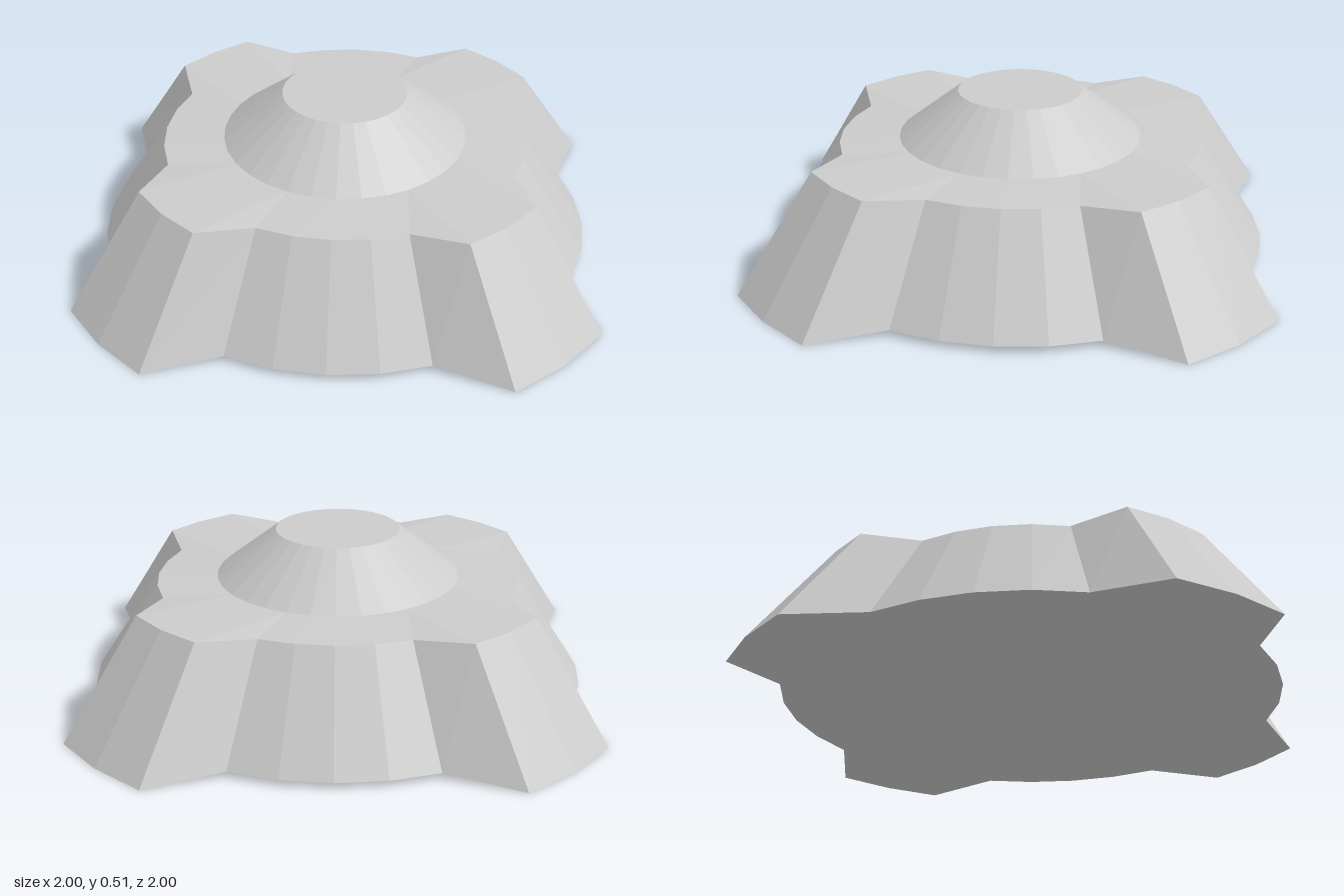
import * as THREE from 'three';

const SEG = 32;
const material = new THREE.MeshStandardMaterial({ color: 0xcccccc, flatShading: true });

// One ring of points; lobes point along the four axes, three points wide each
function ring(lobeR, lobeY, valleyR = lobeR, valleyY = lobeY) {
  return Array.from({ length: SEG }, (_, i) => {
    const a = (i / SEG) * Math.PI * 2;
    const k = i % 8;
    const lobe = k <= 1 || k === 7;
    const r = lobe ? lobeR : valleyR;
    return [Math.cos(a) * r, lobe ? lobeY : valleyY, -Math.sin(a) * r];
  });
}

// Skin a stack of rings, ordered from the bottom centre outward and up
function loft(name, rings) {
  const pos = rings.flat(2);
  const index = [];
  for (let j = 0; j < rings.length - 1; j++) {
    for (let i = 0; i < SEG; i++) {
      const n = (i + 1) % SEG;
      const a = j * SEG + i, b = j * SEG + n;
      const c = a + SEG, d = b + SEG;
      index.push(a, b, d, a, d, c);
    }
  }
  const indexed = new THREE.BufferGeometry();
  indexed.setAttribute('position', new THREE.Float32BufferAttribute(pos, 3));
  indexed.setIndex(index);
  const geometry = indexed.toNonIndexed();
  geometry.computeVertexNormals();
  const mesh = new THREE.Mesh(geometry, material);
  mesh.name = name;
  return mesh;
}

export function createModel() {
  const model = new THREE.Group();
  model.name = 'lobedPedestal';

  // Flared base with four lobes, closed underneath, with a flat shoulder
  model.add(loft('lobedBase', [
    ring(0, 0.015),
    ring(1, 0, 0.818, 0.02),
    ring(0.735, 0.365, 0.6, 0.352),
    ring(0.4, 0.362),
  ]));

  // Raised cone with a flat cap
  model.add(loft('raisedCone', [
    ring(0.402, 0.362),
    ring(0.205, 0.515),
    ring(0, 0.515),
  ]));

  return model;
}
